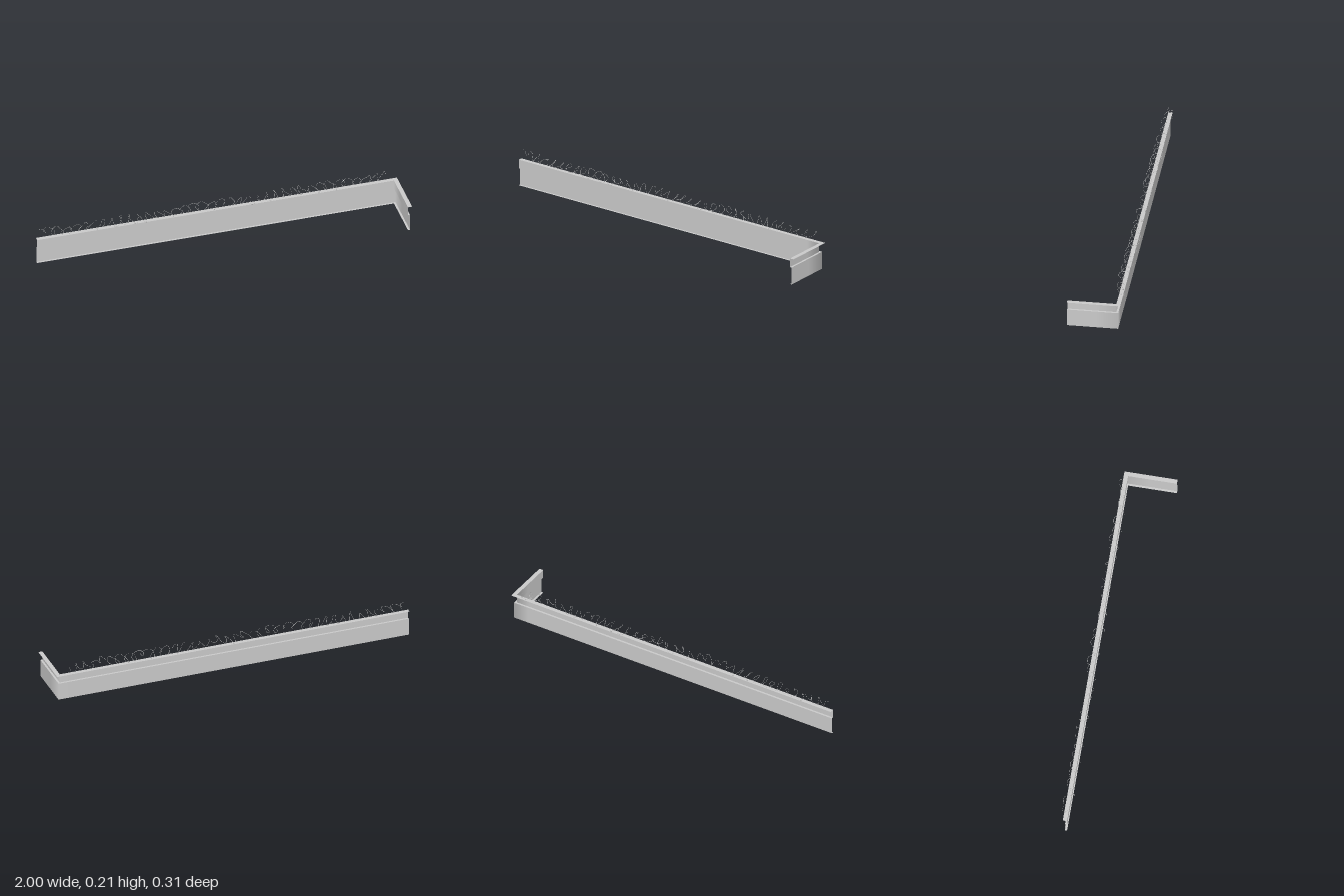
import * as THREE from 'three';

const grey = new THREE.MeshStandardMaterial({ color: 0xcacaca, side: THREE.DoubleSide });
grey.name = 'light grey';

// Wall line of the upper course; the sections are offset outward from it
const WALL_X = 0.977, WALL_Z = -0.11, END_Z = 0.153;

// Plan path of the L-shaped wall at an outward offset d: [x, z, normal x, normal z]
function planPath(d) {
  const x = WALL_X + d, z = WALL_Z - d, s = Math.SQRT1_2;
  return [[-1, z, 0, -1], [0.9, z, 0, -1], [x, z, s, -s], [x, 0, 1, 0], [x, END_Z, 1, 0]];
}

// One strip of the wall between two section points [offset, height]
function wallStrip(name, from, to) {
  const positions = [], normals = [], index = [];
  const a = planPath(from[0]), b = planPath(to[0]);
  const up = Math.sign(to[0] - from[0]); // 0 on upright faces
  a.forEach(([x, z, nx, nz], i) => {
    positions.push(x, from[1], z, b[i][0], to[1], b[i][1]);
    // upright faces blend softly round the corner, level ones stay flat
    const normal = up === 0 ? [nx, 0, nz] : [0, up, 0];
    normals.push(...normal, ...normal);
    if (i < a.length - 1) {
      const k = i * 2;
      index.push(k, k + 2, k + 1, k + 2, k + 3, k + 1);
    }
  });
  const geometry = new THREE.BufferGeometry();
  geometry.setAttribute('position', new THREE.Float32BufferAttribute(positions, 3));
  geometry.setAttribute('normal', new THREE.Float32BufferAttribute(normals, 3));
  geometry.setIndex(index);
  const mesh = new THREE.Mesh(geometry, grey);
  mesh.name = name;
  return mesh;
}

// Irregular coil of thin wire lying along the long wall
function coiledWire() {
  let seed = 7;
  const random = () => (seed = (seed * 16807) % 2147483647) / 2147483647 - 0.5;
  const turns = 38, perTurn = 8, points = [];
  let dy = 0, dz = 0, radius = 0.02;
  for (let i = 0; i <= turns * perTurn; i++) {
    if (i % perTurn === 0) {
      radius = 0.021 + random() * 0.012;
      dy = random() * 2 * (0.029 - radius);
      dz = random() * 2 * (0.032 - radius);
    }
    const angle = (i / perTurn) * Math.PI * 2;
    const x = -0.98 + (1.91 * i) / (turns * perTurn);
    points.push(new THREE.Vector3(
      x + 0.014 * Math.sin(angle + i * 0.05) + random() * 0.01,
      0.176 + dy + radius * Math.cos(angle),
      -0.12 + dz + radius * Math.sin(angle)
    ));
  }
  const curve = new THREE.CatmullRomCurve3(points);
  curve.arcLengthDivisions = 2000;
  const mesh = new THREE.Mesh(new THREE.TubeGeometry(curve, turns * 18, 0.0007, 4), grey);
  mesh.name = 'coiledWire';
  return mesh;
}

export function createModel() {
  const model = new THREE.Group();
  model.name = 'cornerWall';

  // Section from the top flange down to the bottom lip
  const section = [[0.023, 0.147], [0, 0.147], [0, 0.097], [0.011, 0.097], [0.011, 0], [0, 0]];
  const names = ['topFlange', 'upperWall', 'ledge', 'lowerWall', 'bottomLip'];
  names.forEach((name, i) => model.add(wallStrip(name, section[i], section[i + 1])));

  model.add(coiledWire());
  return model;
}
